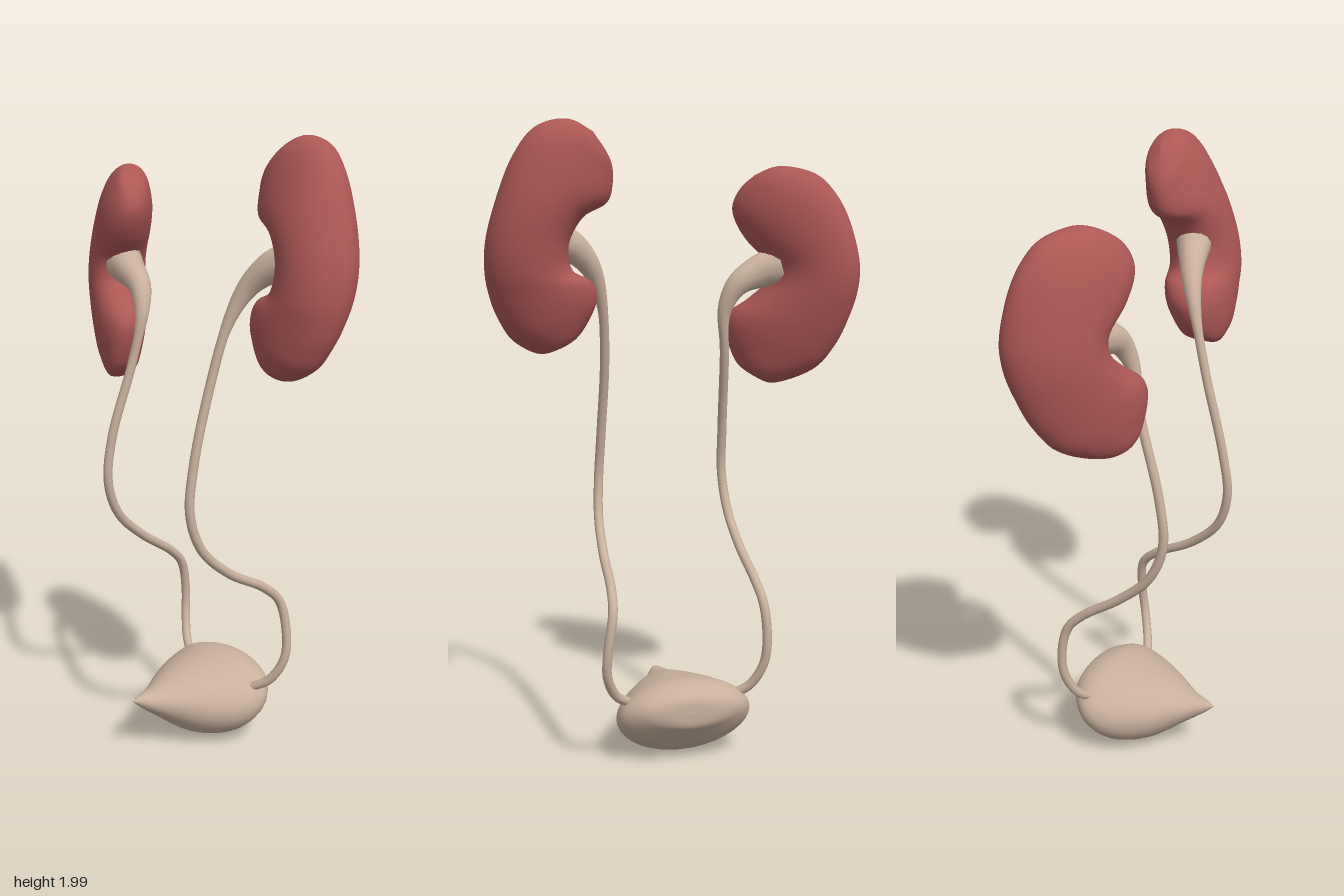
import * as THREE from 'three';

const V = (x, y, z) => new THREE.Vector3(x, y, z);
const red = new THREE.MeshStandardMaterial({ color: 0xad5855 });
const tan = new THREE.MeshStandardMaterial({ color: 0xc9b09c });

// Smooth loft through elliptical sections { c: centre, a, b: half axes }
function loft(sections, rings = 60, sides = 36) {
  const curve = (key) => new THREE.CatmullRomCurve3(sections.map((s) => s[key]), false, 'catmullrom');
  const [cc, ca, cb] = ['c', 'a', 'b'].map(curve);
  const pos = [], index = [];
  for (let i = 0; i <= rings; i++) {
    const t = i / rings, c = cc.getPoint(t), a = ca.getPoint(t), b = cb.getPoint(t);
    for (let j = 0; j < sides; j++) {
      const w = (j / sides) * Math.PI * 2;
      const p = c.clone().addScaledVector(a, Math.cos(w)).addScaledVector(b, Math.sin(w));
      pos.push(p.x, p.y, p.z);
    }
  }
  // choose the winding so faces look outwards
  const outward = ca.getPoint(0.5).cross(cb.getPoint(0.5)).dot(cc.getTangent(0.5)) > 0;
  for (let i = 0; i < rings; i++) {
    for (let j = 0; j < sides; j++) {
      const k = (j + 1) % sides;
      const p = i * sides + j, q = i * sides + k, r = p + sides, s = q + sides;
      if (outward) index.push(p, q, r, q, s, r);
      else index.push(p, r, q, q, r, s);
    }
  }
  const g = new THREE.BufferGeometry();
  g.setAttribute('position', new THREE.Float32BufferAttribute(pos, 3));
  g.setIndex(index);
  g.computeVertexNormals();
  return g;
}

// Bean shape: rows of [outer x, outer y, inner x, inner y, half thickness] fanned round the hilum
function kidney(rows, depthAt) {
  return loft(rows.map(([ox, oy, ix, iy, t]) => {
    const o = V(ox, oy, depthAt(ox, oy)), i = V(ix, iy, depthAt(ix, iy));
    return { c: o.clone().add(i).multiplyScalar(0.5), a: o.sub(i).multiplyScalar(0.5), b: V(0, 0, t) };
  }));
}

// Tube that widens into a funnel at its first point
function ureter(points, funnel) {
  const path = new THREE.CatmullRomCurve3(points.map((p) => V(...p)));
  const segs = 90, sides = 14;
  const g = new THREE.TubeGeometry(path, segs, 1, sides);
  const pos = g.attributes.position, p = V(0, 0, 0);
  for (let i = 0; i <= segs; i++) {
    const c = path.getPointAt(i / segs);
    const r = 0.015 + funnel * Math.pow(Math.max(0, 1 - i / segs / 0.2), 1.5);
    for (let j = 0; j <= sides; j++) {
      const k = i * (sides + 1) + j;
      p.fromBufferAttribute(pos, k).sub(c).multiplyScalar(r).add(c);
      pos.setXYZ(k, p.x, p.y, p.z);
    }
  }
  return g;
}

export function createModel() {
  const model = new THREE.Group();
  model.name = 'urinarySystem';
  const add = (name, geometry, material) => {
    const mesh = new THREE.Mesh(geometry, material);
    mesh.name = name;
    model.add(mesh);
  };

  // Kidneys
  add('leftKidney', kidney([
    [0.27, 1.965, 0.27, 1.965, 0],
    [0.35, 2.0, 0.215, 1.88, 0.055],
    [0.445, 1.975, 0.207, 1.81, 0.08],
    [0.51, 1.89, 0.225, 1.755, 0.1],
    [0.555, 1.77, 0.295, 1.715, 0.113],
    [0.585, 1.65, 0.335, 1.64, 0.115],
    [0.587, 1.55, 0.325, 1.56, 0.113],
    [0.57, 1.47, 0.265, 1.525, 0.108],
    [0.545, 1.41, 0.245, 1.475, 0.1],
    [0.5, 1.345, 0.26, 1.42, 0.085],
    [0.42, 1.303, 0.3, 1.355, 0.055],
    [0.355, 1.32, 0.355, 1.32, 0],
  ], (x, y) => -0.085 - 0.16 * (y - 1.65)), red);

  add('rightKidney', kidney([
    [-0.285, 1.845, -0.285, 1.845, 0],
    [-0.355, 1.872, -0.245, 1.8, 0.05],
    [-0.45, 1.85, -0.225, 1.75, 0.08],
    [-0.51, 1.79, -0.235, 1.7, 0.1],
    [-0.555, 1.7, -0.27, 1.64, 0.11],
    [-0.585, 1.58, -0.33, 1.57, 0.113],
    [-0.585, 1.49, -0.33, 1.51, 0.113],
    [-0.565, 1.4, -0.28, 1.455, 0.108],
    [-0.53, 1.31, -0.225, 1.41, 0.1],
    [-0.47, 1.23, -0.215, 1.35, 0.085],
    [-0.36, 1.183, -0.25, 1.25, 0.055],
    [-0.3, 1.205, -0.3, 1.205, 0],
  ], (x, y) => -0.03 + 0.48 * (x + 0.4) - 0.08 * (y - 1.53)), red);

  // Ureters, from kidney to bladder
  add('leftUreter', ureter([
    [0.38, 1.65, -0.07], [0.31, 1.62, -0.04], [0.25, 1.56, -0.01], [0.207, 1.45, 0.03],
    [0.187, 1.27, 0.08], [0.185, 1.02, 0.145], [0.19, 0.87, 0.163], [0.2, 0.75, 0.125],
    [0.21, 0.65, 0.02], [0.22, 0.57, -0.12], [0.23, 0.51, -0.18], [0.25, 0.39, -0.195],
    [0.25, 0.31, -0.185], [0.215, 0.235, -0.155], [0.165, 0.2, -0.125],
  ], 0.048), tan);
  add('rightUreter', ureter([
    [-0.37, 1.56, -0.01], [-0.3, 1.54, 0.01], [-0.235, 1.5, 0.02], [-0.2, 1.42, 0.04],
    [-0.21, 1.27, 0.07], [-0.228, 1.02, 0.145], [-0.232, 0.87, 0.16], [-0.238, 0.75, 0.115],
    [-0.245, 0.65, 0.01], [-0.257, 0.56, -0.12], [-0.265, 0.5, -0.175], [-0.27, 0.39, -0.197],
    [-0.262, 0.31, -0.19], [-0.225, 0.235, -0.165], [-0.175, 0.2, -0.14],
  ], 0.055), tan);

  // Bladder: rows of [z, half width, top y, bottom y] from the back to the front tip
  add('bladder', loft([
    [-0.24, 0, 0.18, 0.18],
    [-0.235, 0.09, 0.225, 0.14],
    [-0.21, 0.16, 0.25, 0.11],
    [-0.15, 0.214, 0.266, 0.045],
    [-0.07, 0.208, 0.257, 0.008],
    [0.03, 0.153, 0.238, 0.03],
    [0.14, 0.063, 0.21, 0.11],
    [0.2, 0.024, 0.202, 0.157],
    [0.235, 0, 0.19, 0.19],
  ].map(([z, w, top, bottom]) => ({
    c: V(-0.015, (top + bottom) / 2, z), a: V(w, 0, 0), b: V(0, (top - bottom) / 2, 0),
  }))), tan);

  return model;
}
